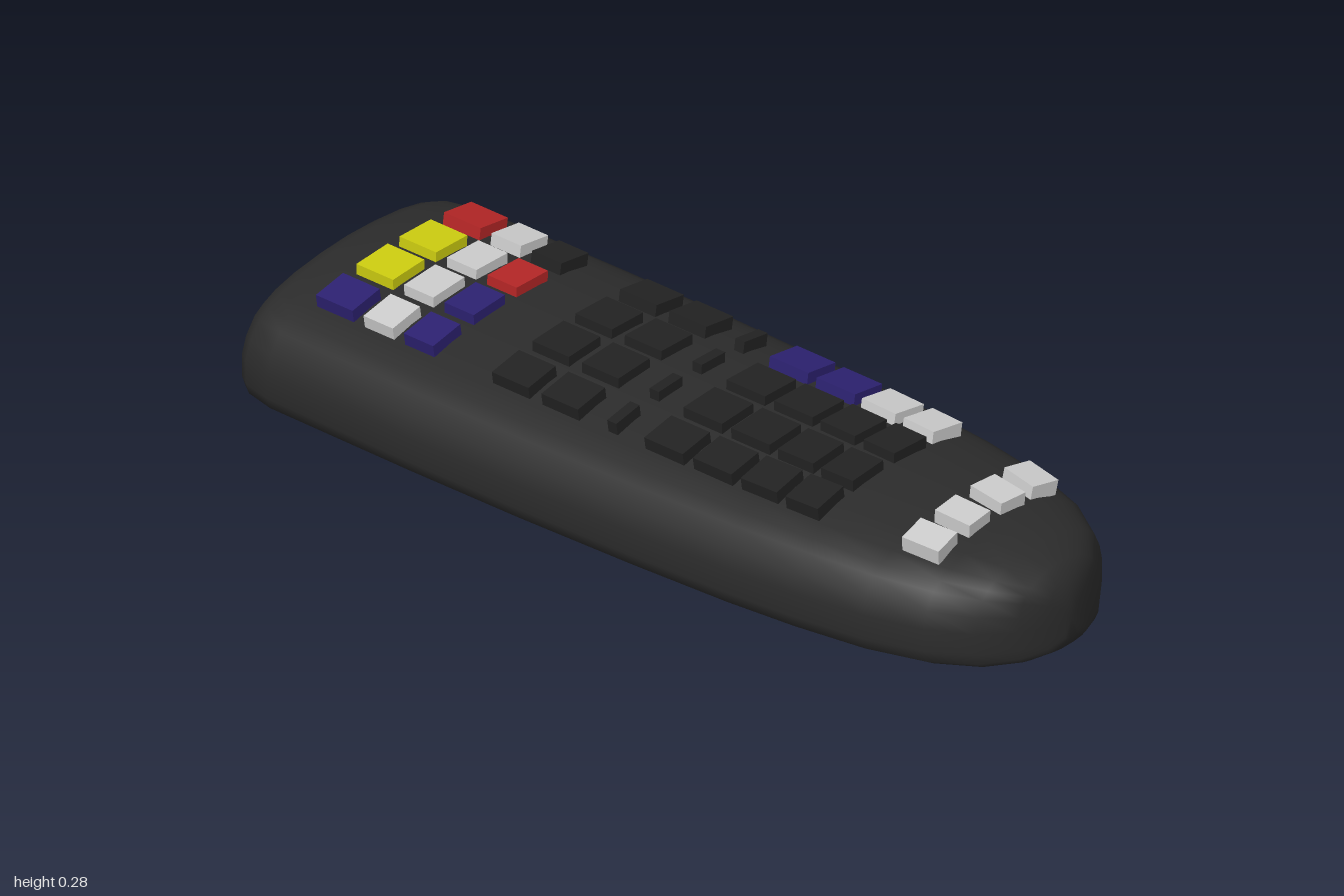
import * as THREE from 'three';

const material = (color) => new THREE.MeshStandardMaterial({ color });

// Half cross-section, top centre to bottom centre: [fraction of half width, fraction of height]
const PROFILE = [
  [0, 1], [0.25, 0.985], [0.5, 0.945], [0.69, 0.885], [0.8, 0.82], [0.88, 0.75], [0.96, 0.6],
  [1, 0.44], [1, 0.22], [0.97, 0.11], [0.88, 0.05], [0.69, 0.02], [0.3, 0], [0, 0],
];

// Stations along the body: [z, half width, bottom y, top y]
const STATIONS = [
  [-1, 0.25, 0.04, 0.2], [-0.993, 0.3, 0.022, 0.232], [-0.975, 0.338, 0.012, 0.25],
  [-0.95, 0.355, 0.006, 0.259], [-0.88, 0.37, 0.003, 0.264], [-0.5, 0.374, 0.003, 0.265],
  [-0.2, 0.372, 0.003, 0.265], [0.1, 0.363, 0.003, 0.265], [0.35, 0.35, 0.003, 0.265],
  [0.52, 0.333, 0.003, 0.264], [0.69, 0.305, 0.003, 0.259], [0.82, 0.262, 0.004, 0.25],
  [0.91, 0.203, 0.007, 0.235], [0.965, 0.13, 0.012, 0.212], [0.99, 0.066, 0.022, 0.182],
  [1, 0.02, 0.045, 0.14],
];

// Lofted shell through the stations, closed at both ends
function bodyGeometry() {
  const ring = [...PROFILE, ...PROFILE.slice(1, -1).reverse().map(([x, y]) => [-x, y])];
  const n = ring.length, pos = [], index = [];
  STATIONS.forEach(([z, w, y0, y1], i) => {
    ring.forEach(([px, py], j) => {
      pos.push(px * w, y0 + py * (y1 - y0), z);
      if (i === STATIONS.length - 1) return;
      const a = i * n + j, b = i * n + (j + 1) % n;
      index.push(a, a + n, b, b, a + n, b + n);
    });
  });
  const last = (STATIONS.length - 1) * n, back = last + n, front = back + 1;
  pos.push(0, 0.12, -1, 0, 0.09, 1);
  for (let j = 0; j < n; j++) {
    const k = (j + 1) % n;
    index.push(back, j, k, front, last + k, last + j);
  }
  const geometry = new THREE.BufferGeometry();
  geometry.setAttribute('position', new THREE.Float32BufferAttribute(pos, 3));
  geometry.setIndex(index);
  geometry.computeVertexNormals();
  return geometry;
}

const COLORS = {
  k: material(0x222222), b: material(0x2c2170), y: material(0xcccc10),
  r: material(0xb42626), w: material(0xcccccc),
};

// Key rows: z, depth, one colour letter per column, outer column x
const ROWS = [
  { z: -0.8, d: 0.1, keys: 'byyr' },
  { z: -0.68, d: 0.08, keys: 'wwww' },
  { z: -0.57, d: 0.08, keys: 'bbrk' },
  { z: -0.32, d: 0.1, keys: 'kkkk' },
  { z: -0.185, d: 0.1, keys: 'kkkk' },
  { z: -0.048, d: 0.025, keys: 'kkkk', width: 0.075 },
  { z: 0.095, d: 0.105, keys: 'kkkb', outer: 0.198 },
  { z: 0.225, d: 0.105, keys: 'kkkb', outer: 0.195 },
  { z: 0.347, d: 0.095, keys: 'kkkw', outer: 0.191, yaw: 0.04 },
  { z: 0.46, d: 0.085, keys: 'kkkw', outer: 0.187, yaw: 0.05 },
  { z: 0.75, d: 0.09, keys: 'wwww', outer: 0.16, inner: 0.056, width: 0.072, yaw: 0.14, pitch: 0.08, drop: 0.004 },
];

function addKeys(group) {
  for (const { z, d, keys, outer = 0.202, inner = 0.068, width, yaw = 0, pitch = 0, drop = 0 } of ROWS) {
    [...keys].forEach((letter, c) => {
      const side = c < 2 ? -1 : 1;
      const isOuter = c === 0 || c === 3;
      const w = width ?? (isOuter ? 0.088 : 0.1);
      const key = new THREE.Mesh(new THREE.BoxGeometry(w, 0.036, d), COLORS[letter]);
      key.position.set(side * (isOuter ? outer : inner), (isOuter ? 0.256 : 0.267) - drop, z);
      // Keys follow the crown of the body and fan in towards the front
      key.rotation.set(pitch, -side * yaw * (isOuter ? 1 : 0.5), -side * (isOuter ? 0.16 : 0.04), 'YXZ');
      key.name = 'key';
      group.add(key);
    });
  }
}

export function createModel() {
  const model = new THREE.Group();
  model.name = 'remoteControl';

  const body = new THREE.Mesh(bodyGeometry(), material(0x2b2b2b));
  body.name = 'body';
  model.add(body);

  const keypad = new THREE.Group();
  keypad.name = 'keypad';
  addKeys(keypad);
  model.add(keypad);
  return model;
}
